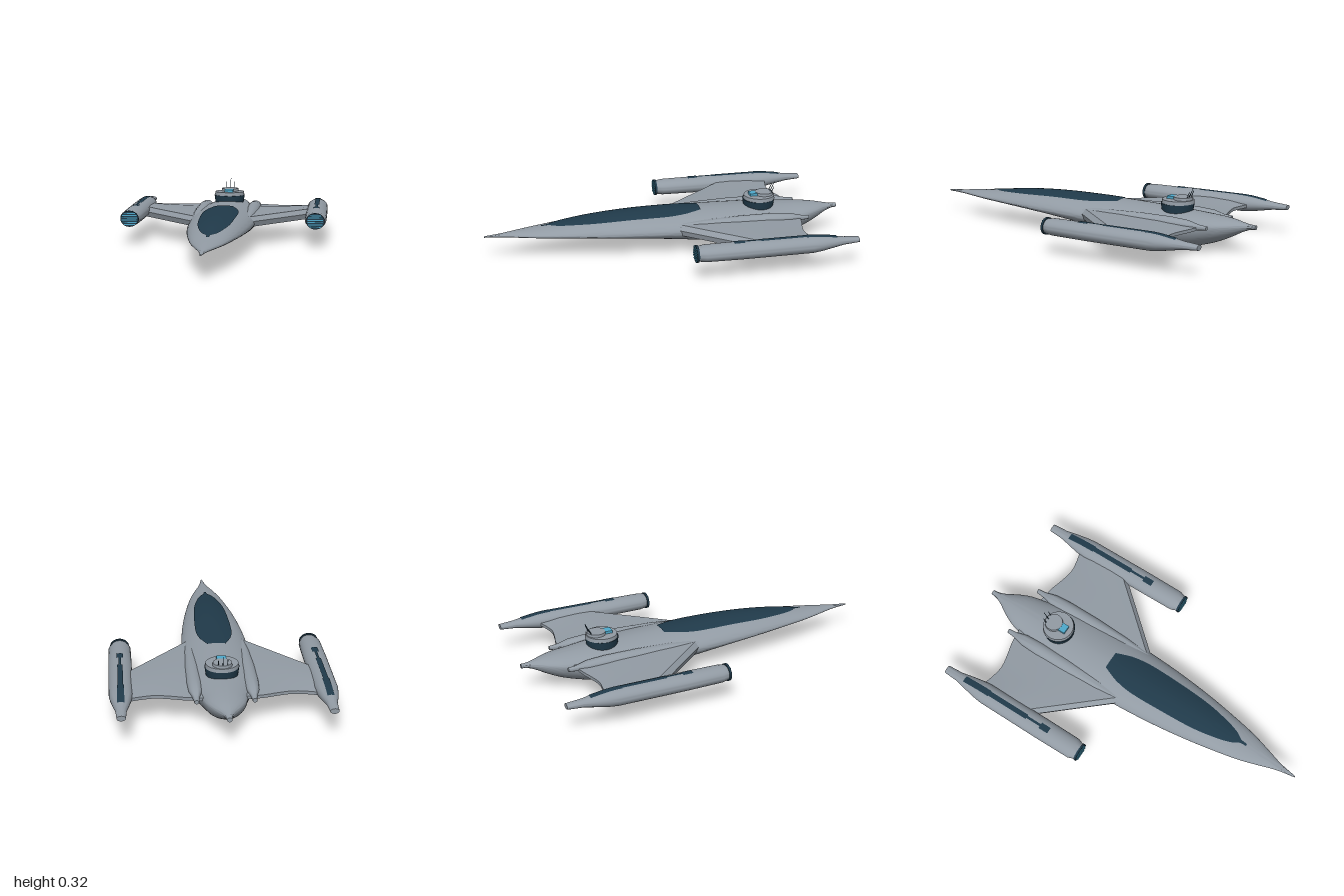
import * as THREE from 'three';
import { toCreasedNormals } from 'three/addons/utils/BufferGeometryUtils.js';

const paint = (name, color, side = THREE.FrontSide) => {
  const m = new THREE.MeshStandardMaterial({ color, side });
  m.name = name;
  return m;
};

// Smooth lookup in a table of [key, a, b, ...] rows with descending keys
function lookup(rows, z) {
  let i = 0;
  while (i < rows.length - 2 && z < rows[i + 1][0]) i++;
  const a = rows[i], b = rows[i + 1], p = rows[i - 1] || a, n = rows[i + 2] || b;
  const h = b[0] - a[0], t = THREE.MathUtils.clamp((z - a[0]) / h, 0, 1), t2 = t * t, t3 = t2 * t;
  return a.slice(1).map((_, k) => {
    const c = k + 1;
    const ma = ((b[c] - p[c]) / (b[0] - p[0])) * h, mb = ((n[c] - a[c]) / (n[0] - a[0])) * h;
    return (2 * t3 - 3 * t2 + 1) * a[c] + (t3 - 2 * t2 + t) * ma + (3 * t2 - 2 * t3) * b[c] + (t3 - t2) * mb;
  });
}

// Skin over a list of point rows
function loft(rows, closed = true, crease = 0.6) {
  const n = rows[0].length, index = [];
  for (let i = 0; i < rows.length - 1; i++)
    for (let j = 0; j < (closed ? n : n - 1); j++) {
      const k = (j + 1) % n, a = i * n + j, b = a + n, c = i * n + k, d = c + n;
      index.push(a, b, c, c, b, d);
    }
  const g = new THREE.BufferGeometry();
  g.setAttribute('position', new THREE.Float32BufferAttribute(rows.flat(2), 3));
  g.setIndex(index);
  return toCreasedNormals(g, crease);
}

const steps = (a, b, n) => Array.from({ length: n + 1 }, (_, i) => a + ((b - a) * i) / n);

// Hull stations: z, half width, top, bottom, waist height
const HULL = [
  [1, 0.004, 0.134, 0.126, 0.13], [0.9, 0.022, 0.143, 0.123, 0.132], [0.8, 0.053, 0.154, 0.119, 0.133],
  [0.7, 0.083, 0.164, 0.116, 0.133], [0.6, 0.105, 0.176, 0.112, 0.133], [0.4, 0.14, 0.2, 0.102, 0.132],
  [0.2, 0.165, 0.212, 0.086, 0.131], [0, 0.18, 0.214, 0.062, 0.13], [-0.2, 0.186, 0.211, 0.034, 0.13],
  [-0.4, 0.183, 0.206, 0.009, 0.13], [-0.53, 0.17, 0.203, 0.001, 0.132], [-0.62, 0.148, 0.2, 0.008, 0.135],
  [-0.72, 0.12, 0.196, 0.032, 0.14], [-0.8, 0.1, 0.191, 0.06, 0.145], [-0.87, 0.068, 0.184, 0.093, 0.15],
  [-0.93, 0.032, 0.174, 0.125, 0.154], [-0.97, 0.017, 0.168, 0.14, 0.155], [-1, 0.014, 0.167, 0.143, 0.155],
];
const POWER = 1.8;
const hullTop = (x, z) => {
  const [w, top, , mid] = lookup(HULL, z);
  return mid + (top - mid) * Math.pow(Math.max(0, 1 - Math.pow(Math.abs(x) / w, POWER)), 1 / POWER);
};

function hullGeometry() {
  const rings = steps(1, -1, 100).map((z) => {
    const [w, top, bot, mid] = lookup(HULL, z);
    return Array.from({ length: 64 }, (_, j) => {
      const a = (j / 64) * Math.PI * 2, c = Math.cos(a), s = Math.sin(a);
      const e = s > 0 ? 2 / POWER : 1;
      const x = w * Math.sign(c) * Math.pow(Math.abs(c), e);
      return [x, s > 0 ? mid + (top - mid) * Math.pow(s, e) : mid + (mid - bot) * s, z];
    });
  });
  const cap = (z, y) => Array.from({ length: 64 }, () => [0, y, z]);
  return loft([cap(1, 0.13), ...rings, cap(-1, 0.155)], true, 0.8);
}

// Thin skin draped over a surface, width(z) wide
const drape = (z0, z1, width, height, n = 40, m = 14) =>
  loft(steps(z0, z1, n).map((z) => steps(1, -1, m).map((u) => {
    const x = u * width(z);
    return [x, height(x, z), z];
  })), false, 1);

const CANOPY = [
  [0.69, 0.006], [0.645, 0.012], [0.62, 0.03], [0.55, 0.054], [0.4, 0.083],
  [0.2, 0.096], [0, 0.099], [-0.1, 0.085], [-0.16, 0.064], [-0.195, 0.05],
];

// Engine pod stations: z, half width, half height, centre height
const POD = [
  [-0.058, 0, 0, 0.15], [-0.058, 0.046, 0.038, 0.15], [-0.098, 0.06, 0.044, 0.15], [-0.3, 0.062, 0.046, 0.15],
  [-0.68, 0.06, 0.046, 0.151], [-0.73, 0.054, 0.042, 0.152], [-0.8, 0.041, 0.031, 0.154],
  [-0.86, 0.028, 0.021, 0.155], [-0.945, 0.023, 0.014, 0.155], [-0.945, 0, 0, 0.155],
];
const podTop = (x, z) => {
  const i = POD.findIndex((r, k) => k > 0 && z <= r[0] && z > POD[k + 1][0]);
  const a = POD[i], b = POD[i + 1], t = (z - a[0]) / (b[0] - a[0]);
  const [rx, ry, cy] = [1, 2, 3].map((k) => a[k] + (b[k] - a[k]) * t);
  return cy + ry * Math.sqrt(1 - (x / rx) ** 2) + 0.003;
};
const podGeometry = () => loft(POD.map(([z, rx, ry, cy]) => Array.from({ length: 32 }, (_, j) => {
  const a = (j / 32) * Math.PI * 2;
  return [rx * Math.cos(a), cy + ry * Math.sin(a), z];
})));

// Wing with a blunt chamfered leading edge and a scalloped trailing edge
const TRAIL = [[0.5, -0.73], [0.47, -0.722], [0.42, -0.708], [0.35, -0.698], [0.27, -0.713], [0.2, -0.732], [0.1, -0.745]];
function wingGeometry(side) {
  const xs = steps(0.1, 0.5, 16);
  if (side < 0) xs.reverse();
  return loft(xs.map((x) => {
    const lead = -0.05 - (x - 0.18) * 1.153, trail = lookup(TRAIL, x)[0];
    const at = (t) => lead + (trail - lead) * t;
    return [
      [0, 0.145], [0, 0.15, -0.035], [0.35, 0.172], [0.7, 0.168], [1, 0.155],
      [1, 0.138], [0.6, 0.122], [0.25, 0.115], [0, 0.115, -0.012],
    ].map(([t, y, dz = 0]) => [side * x, dz === -0.035 ? 0.17 : y, at(t) + dz]);
  }), true, 0.5);
}

export function createModel() {
  const model = new THREE.Group();
  const grey = paint('hullGrey', 0x929ba4);
  const dark = paint('darkBlue', 0x203a4a, THREE.DoubleSide);
  const cyan = paint('glowCyan', 0x4fa9cb);
  const add = (parent, name, geometry, material, x = 0, y = 0, z = 0) => {
    const mesh = new THREE.Mesh(geometry, material);
    mesh.name = name;
    mesh.position.set(x, y, z);
    parent.add(mesh);
    return mesh;
  };

  add(model, 'hull', hullGeometry(), grey);
  add(model, 'canopy', drape(0.69, -0.195, (z) => lookup(CANOPY, z)[0], (x, z) => hullTop(x, z) + 0.004, 60), dark);

  // Command tower
  const tower = new THREE.Group();
  tower.name = 'commandTower';
  model.add(tower);
  add(tower, 'towerBase', new THREE.CylinderGeometry(0.09, 0.082, 0.055, 40), dark, 0, 0.2075, -0.54);
  add(tower, 'towerDeck', new THREE.CylinderGeometry(0.085, 0.088, 0.02, 40), grey, 0, 0.245, -0.543);
  add(tower, 'towerCap', new THREE.CylinderGeometry(0.049, 0.051, 0.016, 32), grey, 0, 0.262, -0.572);
  add(tower, 'towerWindow', new THREE.BoxGeometry(0.05, 0.014, 0.04), cyan, 0, 0.262, -0.507);
  for (const [x, len] of [[-0.024, 0.04], [0, 0.064], [0.024, 0.04]]) {
    const rod = new THREE.CylinderGeometry(0.0015, 0.0025, len, 6).translate(0, len / 2, 0);
    add(tower, 'antenna', rod, dark, x, 0.266, -0.607).rotation.x = -0.42;
  }

  for (const side of [1, -1]) {
    const label = side > 0 ? 'left' : 'right';
    add(model, label + 'Wing', wingGeometry(side), grey);

    // Shoulder fairing with an exhaust peg
    const profile = [[0, 0.05], [0.012, 0.02], [0.022, -0.06], [0.034, -0.2], [0.041, -0.4], [0.041, -0.58],
      [0.034, -0.68], [0.02, -0.73], [0.016, -0.745], [0.012, -0.79], [0, -0.79]]
      .reverse().map(([r, z]) => new THREE.Vector2(r, z));
    const fairing = new THREE.LatheGeometry(profile, 24).rotateX(Math.PI / 2).scale(1, 0.9, 1);
    add(model, label + 'Fairing', toCreasedNormals(fairing, 0.7), grey, side * 0.146, 0.153, 0);

    // Engine pod
    const pod = new THREE.Group();
    pod.name = label + 'Engine';
    pod.position.x = side * 0.523;
    model.add(pod);
    add(pod, 'engineBody', podGeometry(), grey);
    const intake = new THREE.CylinderGeometry(0.052, 0.052, 0.012, 32).rotateX(Math.PI / 2).scale(1, 0.87, 1);
    add(pod, 'intake', intake, dark, 0, 0.15, -0.056);
    for (const dy of steps(-0.032, 0.032, 5)) {
      const width = 1.7 * 0.052 * Math.sqrt(1 - (dy / 0.046) ** 2);
      add(pod, 'intakeBar', new THREE.BoxGeometry(width, 0.005, 0.004), cyan, 0, 0.15 + dy, -0.049);
    }
    for (const [z0, z1, w] of [[-0.255, -0.312, 0.018], [-0.312, -0.4, 0.007], [-0.4, -0.65, 0.014], [-0.65, -0.82, 0.018]])
      add(pod, 'topStrip', drape(z0, z1, () => w, podTop, 10, 4), dark);
  }
  return model;
}
